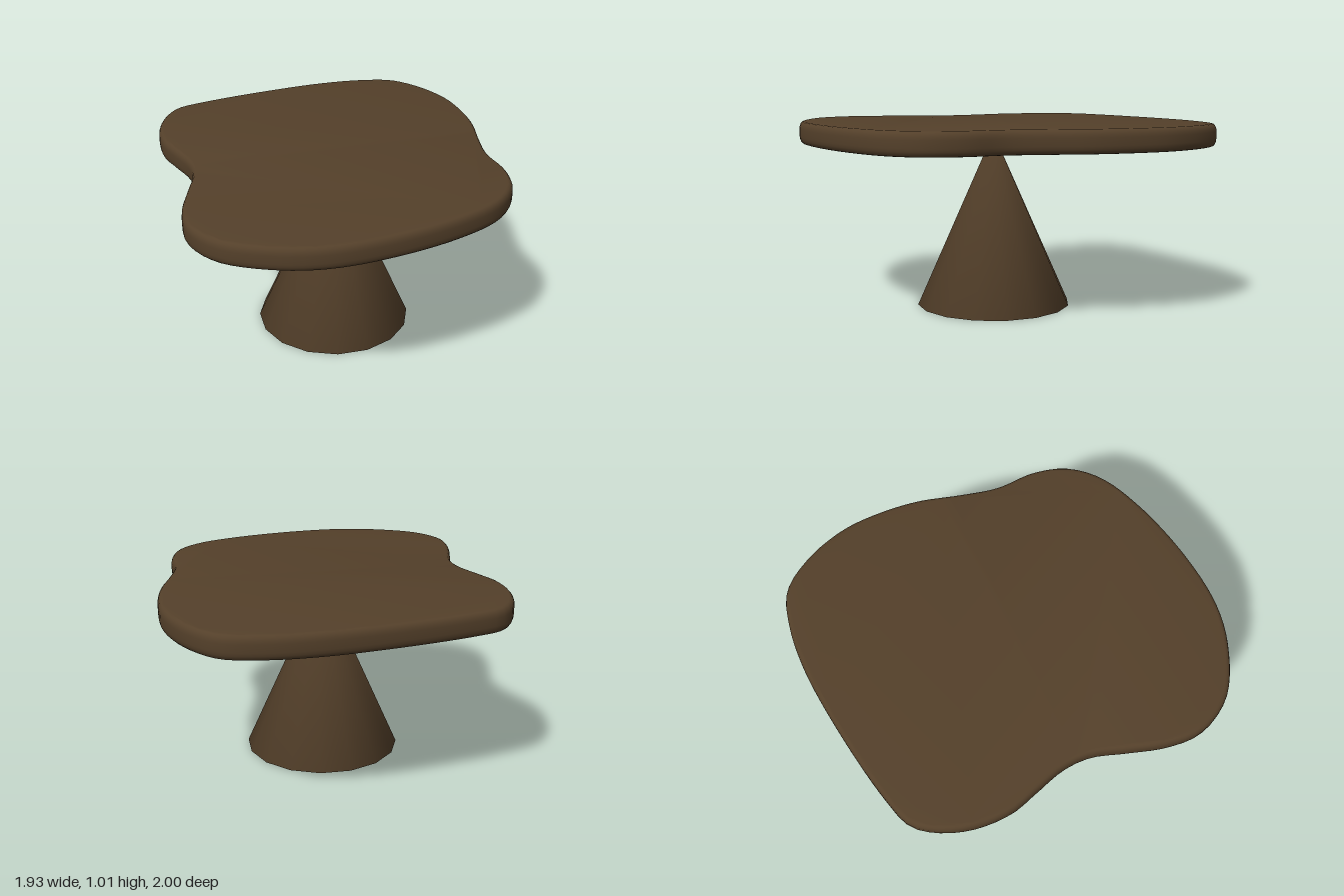
import * as THREE from 'three';
import { mergeVertices, toCreasedNormals } from 'three/addons/utils/BufferGeometryUtils.js';

// Freeform tabletop outline as [x, z] pairs
const OUTLINE = [
  [0, -1], [0.40, -0.98], [0.65, -0.925], [0.82, -0.84], [0.92, -0.66], [0.965, -0.42],
  [0.945, -0.21], [0.89, 0], [0.795, 0.21], [0.72, 0.40], [0.69, 0.61], [0.61, 0.78],
  [0.46, 0.90], [0.21, 0.97], [-0.155, 0.995], [-0.47, 0.96], [-0.685, 0.87], [-0.90, 0.69],
  [-0.97, 0.49], [-0.935, 0.31], [-0.845, 0.12], [-0.765, -0.04], [-0.743, -0.185],
  [-0.765, -0.37], [-0.78, -0.51], [-0.74, -0.71], [-0.65, -0.87], [-0.553, -0.955], [-0.39, -0.985],
];

export function createModel() {
  const group = new THREE.Group();
  const wood = new THREE.MeshStandardMaterial({ color: 0x54402a });

  // Tabletop: flat slab with softly rounded rim
  const curve = new THREE.CatmullRomCurve3(
    OUTLINE.map(([x, z]) => new THREE.Vector3(x, z, 0)), true);
  const points = curve.getSpacedPoints(120).slice(0, -1);
  const shape = new THREE.Shape(points.map((p) => new THREE.Vector2(p.x, p.y)));
  const top = 1.015, bottom = 0.895, bevel = 0.04, inset = 0.025;
  const slab = new THREE.ExtrudeGeometry(shape, {
    depth: top - bottom - 2 * bevel,
    bevelThickness: bevel, bevelSize: inset, bevelOffset: -inset, bevelSegments: 4,
  });
  slab.rotateX(Math.PI / 2);
  slab.translate(0, top - bevel, 0);
  const tabletop = new THREE.Mesh(toCreasedNormals(slab, 0.7), wood);
  tabletop.name = 'tabletop';
  group.add(tabletop);

  // Pedestal: cone whose tip sinks into the slab, shaded smoothly across its rim
  let cone = new THREE.ConeGeometry(0.425, 0.95, 16);
  cone.deleteAttribute('normal');
  cone.deleteAttribute('uv');
  cone = mergeVertices(cone);
  cone.computeVertexNormals();
  const pedestal = new THREE.Mesh(cone, wood);
  pedestal.name = 'pedestal';
  pedestal.position.set(-0.005, 0.475, 0.025);
  group.add(pedestal);

  return group;
}
